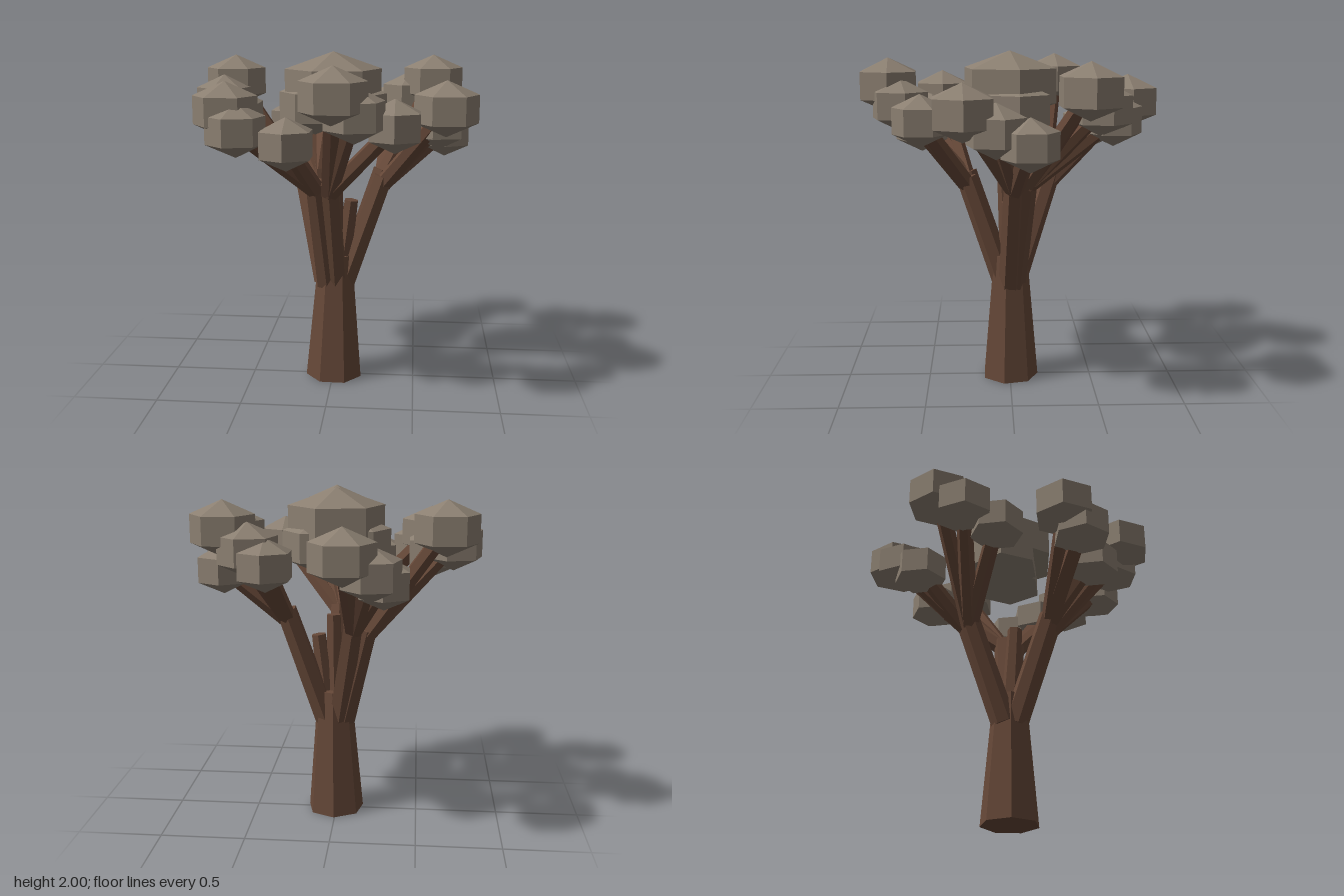
import * as THREE from 'three';

const bark = new THREE.MeshStandardMaterial({ color: 0x664838, flatShading: true });
const leaf = new THREE.MeshStandardMaterial({ color: 0x8b7f71, flatShading: true });

// Tapered faceted limb between two points
function limb(name, from, to, r0, r1, sides = 6) {
  const a = new THREE.Vector3(...from);
  const b = new THREE.Vector3(...to);
  const dir = b.clone().sub(a);
  const mesh = new THREE.Mesh(new THREE.CylinderGeometry(r1, r0, dir.length(), sides), bark);
  mesh.name = name;
  mesh.position.copy(a).add(b).multiplyScalar(0.5);
  mesh.quaternion.setFromUnitVectors(new THREE.Vector3(0, 1, 0), dir.normalize());
  return mesh;
}

// Six-sided leaf clump: ring radius, half height, turn in degrees
function clump(name, [x, y, z], radius, halfHeight, turn) {
  const mesh = new THREE.Mesh(new THREE.SphereGeometry(1, 6, 3), leaf);
  const r = radius / Math.sin(Math.PI / 3);
  mesh.name = name;
  mesh.scale.set(r, halfHeight, r);
  mesh.rotation.y = THREE.MathUtils.degToRad(turn);
  mesh.position.set(x, y, z);
  return mesh;
}

// Clump sizes, small to large, within one bough
const SIZES = [
  { radius: 0.157, half: 0.148, turn: 30, low: 1.53, high: 1.63 },
  { radius: 0.167, half: 0.152, turn: 15, low: 1.6, high: 1.7 },
  { radius: 0.181, half: 0.158, turn: 3, low: 1.7, high: 1.805 },
];

// Each bough: where it leaves the trunk, where it forks, and its three clumps (x, z)
const BOUGHS = [
  { name: 'backBough', level: 'low', base: [-0.02, -0.035], fork: [-0.12, 1.25, -0.25], tips: [[-0.3, -0.5], [-0.235, -0.63], [-0.09, -0.71]] },
  { name: 'rightBough', level: 'high', base: [-0.055, -0.02], fork: [-0.2, 1.22, -0.21], tips: [[-0.565, 0.02], [-0.68, -0.15], [-0.635, -0.31]] },
  { name: 'backLeftBough', level: 'high', base: [0.06, -0.025], fork: [0.29, 1.29, -0.09], tips: [[0.335, -0.57], [0.44, -0.49], [0.59, -0.41]] },
  { name: 'leftBough', level: 'low', base: [0.07, 0], fork: [0.3, 1.26, -0.02], tips: [[0.66, -0.09], [0.625, 0.09], [0.655, 0.265]] },
  { name: 'frontBough', level: 'high', base: [0.02, 0.035], fork: [0, 1.25, 0.26], tips: [[0.375, 0.505], [0.165, 0.63], [0.06, 0.705]] },
  { name: 'frontRightBough', level: 'low', base: [-0.03, 0.035], fork: [-0.08, 1.27, 0.26], tips: [[-0.21, 0.535], [-0.49, 0.505], [-0.56, 0.42]] },
];

export function createModel() {
  const tree = new THREE.Group();
  tree.name = 'tree';

  // Trunk
  const trunk = limb('trunk', [0.005, 0, 0], [0.015, 0.78, 0], 0.174, 0.105, 7);
  trunk.rotateY(Math.PI);
  tree.add(trunk);

  // Short inner stubs between the boughs
  tree.add(limb('innerStub', [0.05, 0.65, 0], [0.11, 1.12, 0.01], 0.06, 0.045));
  tree.add(limb('innerStub', [0.01, 0.65, 0], [0.02, 1.24, 0.03], 0.06, 0.045));

  // Boughs with twigs and their clumps
  for (const { name, level, base, fork, tips } of BOUGHS) {
    const bough = new THREE.Group();
    bough.name = name;
    bough.add(limb('limb', [base[0], 0.6, base[1]], fork, 0.07, 0.062));
    tips.forEach(([x, z], i) => {
      const s = SIZES[i];
      const tip = [x, s[level], z];
      // Twigs leave the limb slightly below its end
      const start = [fork[0], fork[1] - 0.04, fork[2]];
      bough.add(limb('twig', start, tip, 0.053, 0.047));
      bough.add(clump('leafClump', tip, s.radius, s.half, s.turn));
    });
    tree.add(bough);
  }

  // Central crown above two lower clumps
  tree.add(clump('crownTop', [0, 1.8, 0], 0.285, 0.2, 10));
  tree.add(clump('crownRight', [-0.11, 1.68, -0.01], 0.21, 0.17, 3));
  tree.add(clump('crownLeft', [0.1, 1.67, -0.03], 0.215, 0.17, 5));
  return tree;
}
